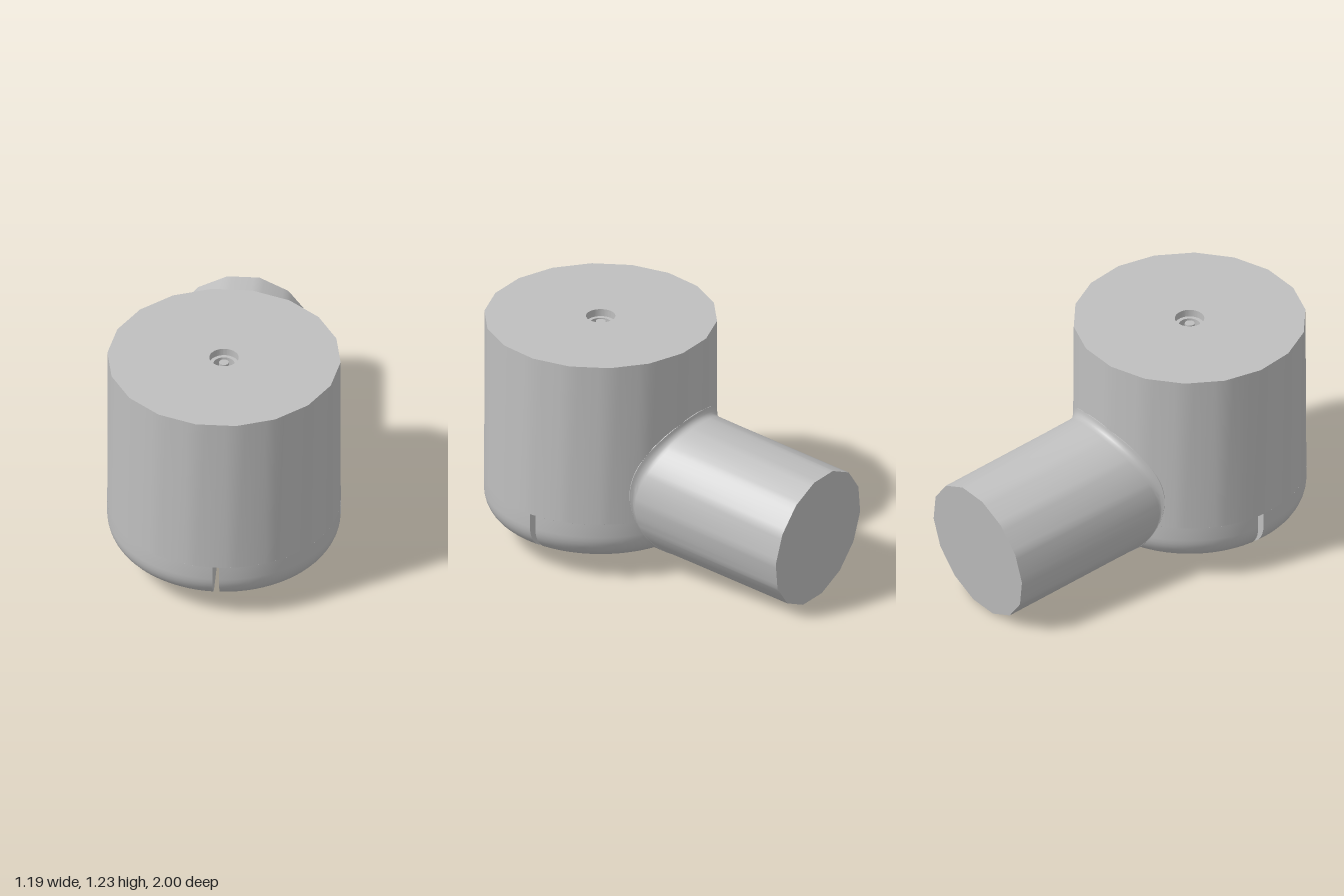
import * as THREE from 'three';
import { toCreasedNormals } from 'three/addons/utils/BufferGeometryUtils.js';

const R = 0.597, CZ = 0.4;                    // drum radius and its z centre
const BOTTOM = 0.11, TOP = 1.23, SLOT_TOP = 0.335, ROUND = 0.15;
const HOLE = 0.055, BORE = 0.075, HALF_SLOT = 0.017;
const PIPE_R = 0.37, TILT = 0.096;            // pipe radius and downward tilt

// Surface through a grid of points: rows along the profile, columns around it
function surface(rows, cols, point) {
  const pos = [], index = [];
  for (let i = 0; i <= rows; i++)
    for (let j = 0; j <= cols; j++) pos.push(...point(i, j / cols));
  for (let i = 0; i < rows; i++)
    for (let j = 0; j < cols; j++) {
      const a = i * (cols + 1) + j, b = a + 1, d = a + cols + 1, c = d + 1;
      index.push(a, b, c, a, c, d);
    }
  const geo = new THREE.BufferGeometry();
  geo.setAttribute('position', new THREE.Float32BufferAttribute(pos, 3));
  geo.setIndex(index);
  return toCreasedNormals(geo, 0.6);
}

// Factor that turns a circle into an n-sided polygon with a flat centred on angle 0
function polygonFactor(angle, n) {
  const step = 2 * Math.PI / n;
  const local = angle - Math.round(angle / step) * step;
  return Math.cos(step / 2) / Math.cos(local);
}

export function createModel() {
  const group = new THREE.Group();
  const grey = new THREE.MeshStandardMaterial({ color: 0xbfbfbf, side: THREE.DoubleSide });
  grey.name = 'grey';
  const add = (geo, name, parent = group) => {
    const mesh = new THREE.Mesh(geo, grey);
    mesh.name = name;
    parent.add(mesh);
    return mesh;
  };

  const drum = new THREE.Group();
  drum.name = 'drum';
  drum.position.z = CZ;
  group.add(drum);

  // Upper drum: round at its foot, 18-sided at the rim, with a stepped hole through it
  const upper = [
    [R, SLOT_TOP], [R, TOP], [BORE, TOP], [BORE, TOP - 0.04],
    [HOLE, TOP - 0.04], [HOLE, SLOT_TOP], [R, SLOT_TOP],
  ];
  add(surface(upper.length - 1, 72, (i, v) => {
    const phi = v * 2 * Math.PI, y = upper[i][1];
    const r = upper[i][0] * (i === 1 ? polygonFactor(phi, 18) : 1);
    return [r * Math.sin(phi), y, r * Math.cos(phi)];
  }), 'upperDrum', drum);

  // Lower drum: three rounded sectors with parallel-sided slots between them
  const lower = [[HOLE, SLOT_TOP], [HOLE, BOTTOM], [0.15, BOTTOM], [0.3, BOTTOM]];
  for (let k = 0; k <= 10; k++) {
    const a = k / 10 * Math.PI / 2;
    lower.push([R - ROUND + ROUND * Math.sin(a), BOTTOM + ROUND * (1 - Math.cos(a))]);
  }
  lower.push([R, SLOT_TOP]);
  for (const [from, to] of [[0, 0.5], [0.5, 1.5], [1.5, 2]]) {
    add(surface(lower.length - 1, (to - from) * 36, (i, v) => {
      const [r, y] = lower[i], gap = Math.asin(HALF_SLOT / r);
      const phi = THREE.MathUtils.lerp(from * Math.PI + gap, to * Math.PI - gap, v);
      return [r * Math.sin(phi), y, r * Math.cos(phi)];
    }), 'lowerDrumSector', drum);
  }

  // Flat walls on both sides of each slot
  const wallShape = new THREE.Shape(lower.map(([r, y]) =>
    new THREE.Vector2(Math.sqrt(r * r - HALF_SLOT * HALF_SLOT), y)));
  for (const phi of [0, Math.PI / 2, 1.5 * Math.PI])
    for (const side of [-1, 1]) {
      const geo = new THREE.ShapeGeometry(wallShape);
      geo.translate(0, 0, side * HALF_SLOT);
      geo.rotateY(phi - Math.PI / 2);
      add(geo, 'slotWall', drum);
    }

  // Pin in the centre hole, held by a thin web at the back
  const pinLength = TOP - 0.03 - SLOT_TOP;
  add(new THREE.CylinderGeometry(0.025, 0.025, pinLength, 20), 'centrePin', drum)
    .position.y = SLOT_TOP + pinLength / 2;
  add(new THREE.BoxGeometry(0.008, 0.7, 0.04), 'pinWeb', drum).position.set(0, 0.72, -0.038);

  // Side pipe: tilted tube, blended into the drum by a fillet that fades out below
  const axis = new THREE.Vector3(0, -Math.sin(TILT), -Math.cos(TILT));
  const up = new THREE.Vector3(0, Math.cos(TILT), -Math.sin(TILT));
  const end = new THREE.Vector3(0, 0.36, -0.965);
  const onPipe = (a, r, t) => end.clone().addScaledVector(axis, t)
    .addScaledVector(up, r * Math.cos(a)).add(new THREE.Vector3(r * Math.sin(a), 0, 0));
  const meetDrum = (a, r) => {
    const x = r * Math.sin(a), z = CZ - Math.sqrt(R * R - x * x);
    return onPipe(a, r, (z - onPipe(a, r, 0).z) / axis.z);
  };
  const STEPS = 5;
  add(surface(STEPS + 4, 84, (i, v) => {
    const a = v * 2 * Math.PI;
    if (i === 0) return onPipe(a, PIPE_R, -1.25).toArray();
    if (i === STEPS + 4) return end.toArray();
    if (i >= STEPS + 2) return onPipe(a, PIPE_R * polygonFactor(a, 14), 0).toArray();
    const f = 0.003 + 0.034 * THREE.MathUtils.smoothstep(Math.cos(a), -0.4, 0.8);
    const corner = meetDrum(a, PIPE_R);
    return new THREE.QuadraticBezierCurve3(
      meetDrum(a, PIPE_R + f), corner, corner.clone().addScaledVector(axis, f),
    ).getPoint((i - 1) / STEPS).toArray();
  }), 'sidePipe');

  return group;
}
